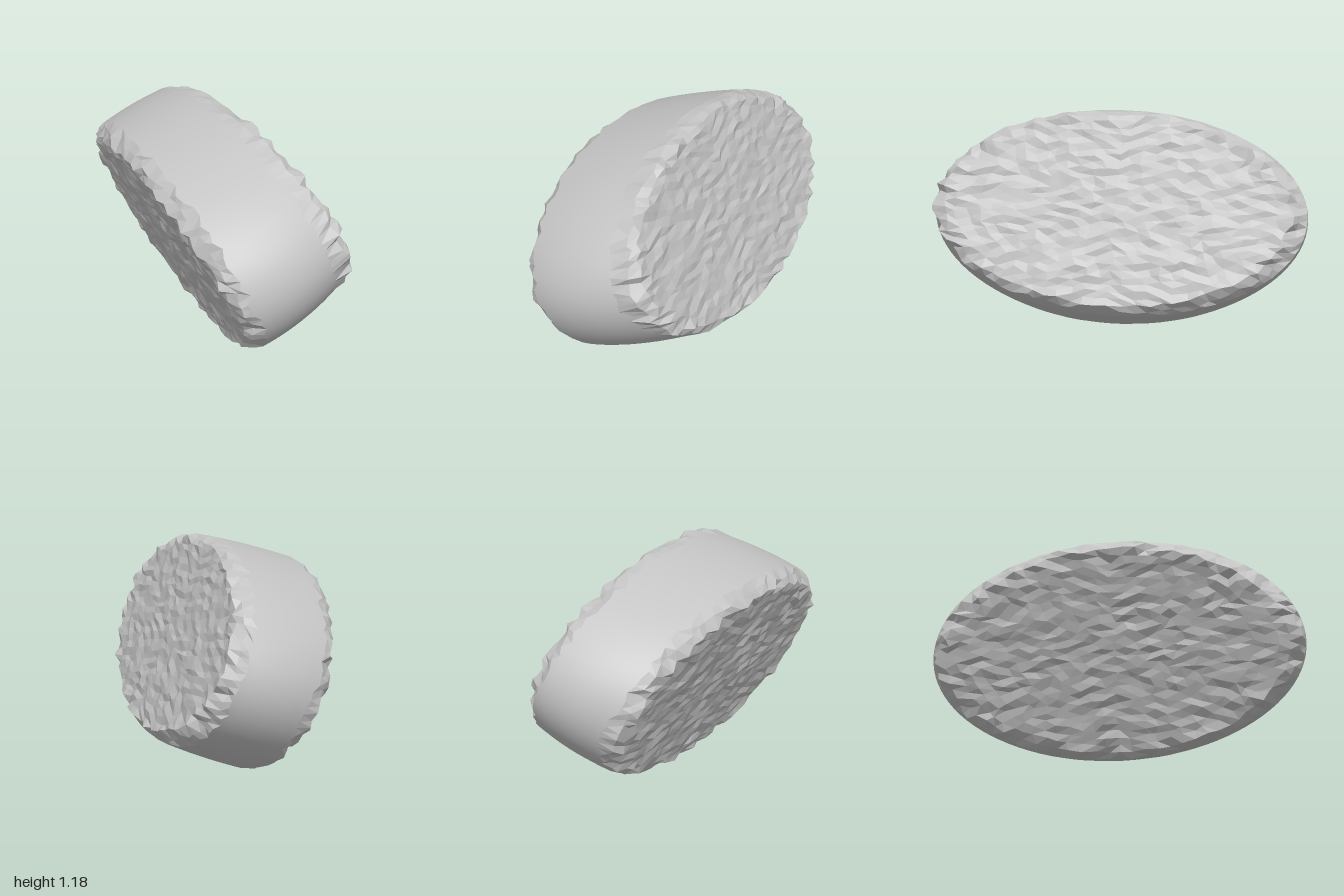
import * as THREE from 'three';

const SEG = 96, RINGS = 16, ROWS = 10;
const CENTER_Y = 0.595;
const AXIS = new THREE.Vector3(0.92, 0.39, 0).normalize();   // through the thickness
const UP = new THREE.Vector3(-AXIS.y, AXIS.x, 0);            // short axis of the oval

// Repeatable noise in -1..1 from three integers
function noise(a, b, c) {
  const s = Math.sin(a * 12.9898 + b * 78.233 + c * 37.719) * 43758.5453;
  return (s - Math.floor(s)) * 2 - 1;
}

// Point of the tilted oval slab: t along the axis, a around it, r = 0..1 outwards;
// the cross-section is the one at sectionT
function place(t, a, r, sectionT = t) {
  const short = 0.553 - 0.07 * sectionT - 0.1 * sectionT * sectionT;
  const long = 0.99 - 0.6 * sectionT * sectionT;
  const z = Math.sin(a) * long * r - 0.13 * sectionT;
  return new THREE.Vector3(0, CENTER_Y, z)
    .addScaledVector(AXIS, t)
    .addScaledVector(UP, Math.cos(a) * short * r + 0.018 - 0.03 * sectionT);
}

// Ragged line where the smooth wall meets a rough end
function edgeT(side, i) {
  i = (i + SEG) % SEG;
  const z = Math.sin((i / SEG) * Math.PI * 2);
  return side > 0 ? 0.205 + 0.035 * z + 0.022 * noise(i, 3, 1) : -0.205 + 0.02 * noise(i, 5, 2);
}

// Smooth oval wall
function wallGeometry() {
  const pos = [], index = [];
  for (let j = 0; j <= ROWS; j++) {
    for (let i = 0; i < SEG; i++) {
      const t = THREE.MathUtils.lerp(edgeT(-1, i), edgeT(1, i), j / ROWS);
      pos.push(...place(t, (i / SEG) * Math.PI * 2, 1).toArray());
    }
  }
  for (let j = 0; j < ROWS; j++) {
    for (let i = 0; i < SEG; i++) {
      const n = (i + 1) % SEG, p = j * SEG, q = p + SEG;
      index.push(p + i, p + n, q + n, p + i, q + n, q + i);
    }
  }
  const g = new THREE.BufferGeometry();
  g.setAttribute('position', new THREE.Float32BufferAttribute(pos, 3));
  g.setIndex(index);
  g.computeVertexNormals();
  return g;
}

// Rough end: rings of 6k points, faceted, with a spiky rim
function endPoint(side, k, i) {
  const count = Math.max(1, 6 * k);
  i = i % count;
  const a = (i / count) * Math.PI * 2;
  if (k === RINGS) return place(edgeT(side, i), a, 1);
  const rim = k >= RINGS - 2;
  let r = k === RINGS - 1 ? 0.97 : (k / (RINGS - 2)) * 0.92;
  const z = Math.sin(a) * r;
  const face = side > 0 ? 0.3 + 0.065 * z : -0.286;
  const base = k === RINGS - 1 ? face - side * 0.035 : face;
  const t = base + (rim ? 0.017 : 0.008) * noise(i, k, side + 7);
  r += (rim ? 0.018 : 0.012) * noise(i, k, side + 11);
  const angle = a + (k > 0 ? (0.25 / k) * noise(i, k, side + 17) : 0);
  return place(t, angle, r, side * 0.22);
}

function endGeometry(side) {
  const pos = [];
  const tri = (a, b, c) => {
    const order = side > 0 ? [a, b, c] : [a, c, b];
    for (const [k, i] of order) pos.push(...endPoint(side, k, i).toArray());
  };
  for (let k = 1; k <= RINGS; k++) {
    for (let s = 0; s < 6; s++) {
      for (let j = 0; j < k; j++) {
        const o = s * k + j, n = s * (k - 1) + j;
        tri([k - 1, n], [k, o], [k, o + 1]);
        if (j < k - 1) tri([k - 1, n], [k, o + 1], [k - 1, n + 1]);
      }
    }
  }
  const g = new THREE.BufferGeometry();
  g.setAttribute('position', new THREE.Float32BufferAttribute(pos, 3));
  g.computeVertexNormals();
  return g;
}

export function createModel() {
  const grey = new THREE.MeshStandardMaterial({ color: 0xc4c4c4 });
  grey.name = 'light grey';
  const group = new THREE.Group();
  group.name = 'ovalSlab';
  const add = (name, geometry) => {
    const mesh = new THREE.Mesh(geometry, grey);
    mesh.name = name;
    group.add(mesh);
  };
  add('smoothWall', wallGeometry());
  add('leftRoughFace', endGeometry(1));
  add('rightRoughFace', endGeometry(-1));
  return group;
}
